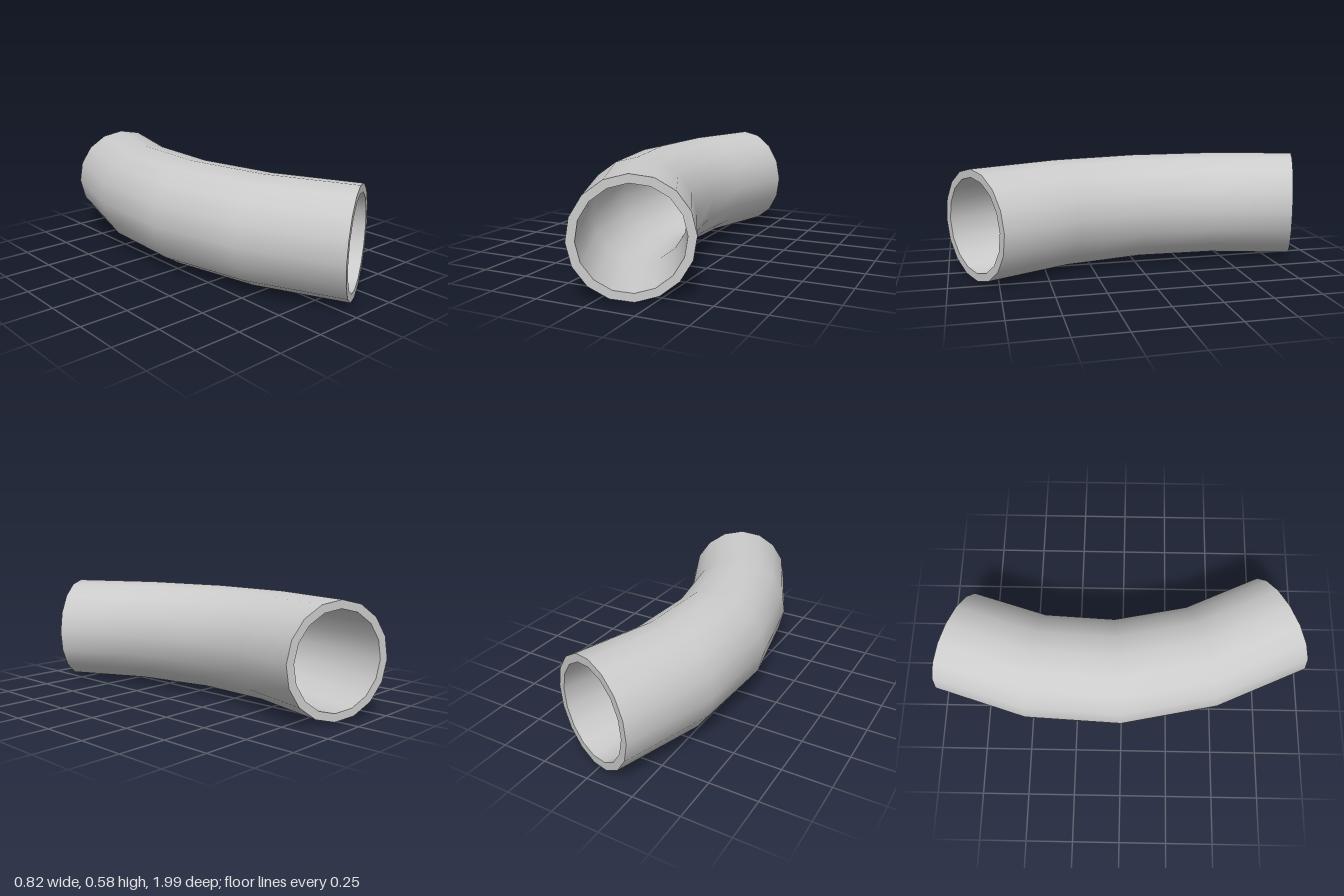
import * as THREE from 'three';

const SIDES = 16;
const TWIST = 0.035;
const OUTER = 1;
const INNER = 0.855;

// Cross-sections from back to front: inside-of-bend and outside-of-bend edges in x, z, and centre height
const SECTIONS = [
  { right: [-0.235, -1.0], left: [0.29, -0.798], y: 0.294 },
  { right: [-0.387, -0.51], left: [0.172, -0.41], y: 0.292 },
  { right: [-0.413, 0.0], left: [0.153, -0.045], y: 0.29 },
  { right: [-0.308, 0.51], left: [0.23, 0.335], y: 0.289 },
  { right: [-0.09, 0.995], left: [0.41, 0.722], y: 0.287 },
];

// One closed ring of points on a section, scaled about its centre
function ring({ right, left, y }, scale) {
  const cx = (right[0] + left[0]) / 2, cz = (right[1] + left[1]) / 2;
  const ux = left[0] - cx, uz = left[1] - cz;
  return Array.from({ length: SIDES }, (_, j) => {
    const a = (j / SIDES) * Math.PI * 2 + TWIST;
    const c = Math.cos(a) * scale, s = Math.sin(a) * scale;
    return [cx + ux * c, y + 0.286 * s, cz + uz * c];
  });
}

// Joins successive rings into a smooth skin
function loft(name, rings, material) {
  const index = [];
  for (let i = 0; i < rings.length - 1; i++) {
    for (let j = 0; j < SIDES; j++) {
      const k = (j + 1) % SIDES;
      const a = i * SIDES + j, b = i * SIDES + k;
      index.push(a, b, a + SIDES, b, b + SIDES, a + SIDES);
    }
  }
  const geometry = new THREE.BufferGeometry();
  geometry.setAttribute('position', new THREE.Float32BufferAttribute(rings.flat(2), 3));
  geometry.setIndex(index);
  geometry.computeVertexNormals();
  const mesh = new THREE.Mesh(geometry, material);
  mesh.name = name;
  return mesh;
}

export function createModel() {
  const group = new THREE.Group();
  group.name = 'bentPipe';
  const material = new THREE.MeshStandardMaterial({ color: 0xcccccc });

  const outer = SECTIONS.map((s) => ring(s, OUTER));
  const inner = SECTIONS.map((s) => ring(s, INNER)).reverse();

  // Walls, and the flat rims that close each end between them
  group.add(
    loft('outerWall', outer, material),
    loft('frontRim', [outer.at(-1), inner[0]], material),
    loft('innerWall', inner, material),
    loft('backRim', [inner.at(-1), outer[0]], material),
  );
  return group;
}
